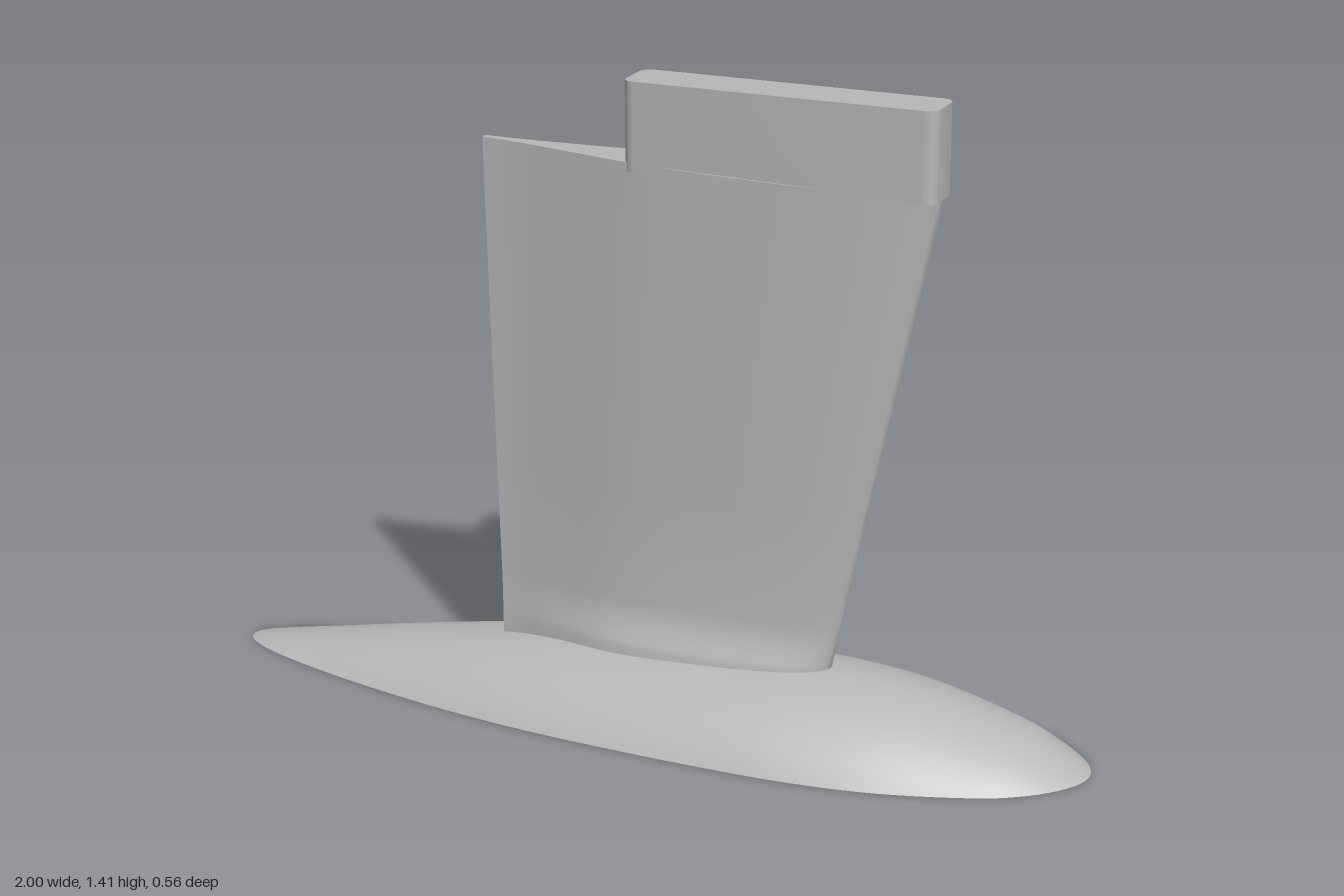
import * as THREE from 'three';
import { toCreasedNormals } from 'three/addons/utils/BufferGeometryUtils.js';

const V2 = (p) => new THREE.Vector2(p[0], p[1]);

// Skin a list of equally long point rows; optionally close the last row with a flat cap
function loft(rows, { closed = false, cap = false } = {}) {
  const n = rows[0].length, index = [];
  for (let j = 0; j < rows.length - 1; j++) {
    for (let i = 0; i < (closed ? n : n - 1); i++) {
      const k = (i + 1) % n;
      const a = j * n + i, b = j * n + k, c = a + n, d = b + n;
      index.push(a, b, d, a, d, c);
    }
  }
  if (cap) {
    const base = (rows.length - 1) * n;
    for (let i = 0; i < n / 2 - 1; i++) {
      const a = base + i, b = a + 1, d = base + n - 1 - i, c = d - 1;
      index.push(a, b, c, a, c, d);
    }
  }
  const geo = new THREE.BufferGeometry();
  geo.setAttribute('position', new THREE.Float32BufferAttribute(rows.flat(2), 3));
  geo.setIndex(index);
  geo.computeVertexNormals();
  return geo;
}

export function createModel() {
  const model = new THREE.Group();
  const grey = new THREE.MeshStandardMaterial({ color: 0xb8b8b8 });
  const add = (name, geo, parent = model) => {
    const mesh = new THREE.Mesh(geo, grey);
    mesh.name = name;
    parent.add(mesh);
    return mesh;
  };

  // Bulb: a teardrop of revolution whose axis lies below the flat underside
  const drop = 0.175;
  const crest = new THREE.SplineCurve([
    [-1, 0], [-0.8, 0.037], [-0.6, 0.074], [-0.4, 0.107], [-0.2, 0.131], [0, 0.145],
    [0.2, 0.153], [0.4, 0.154], [0.6, 0.136], [0.8, 0.09], [0.9, 0.053], [1, 0],
  ].map(V2));
  const bulbRows = [], rightRim = [], leftRim = [];
  const steps = 90, arc = 40;
  for (let j = 0; j <= steps; j++) {
    const p = crest.getPoint((1 - Math.cos((Math.PI * j) / steps)) / 2);
    const r = drop + Math.max(p.y, 0.00001);
    const A = Math.acos(drop / r), row = [];
    for (let i = 0; i <= arc; i++) {
      const a = A * ((2 * i) / arc - 1);
      row.push([p.x, r * Math.cos(a) - drop, r * Math.sin(a)]);
    }
    bulbRows.push(row);
    rightRim.push(new THREE.Vector2(p.x, -r * Math.sin(A)));
    leftRim.unshift(new THREE.Vector2(p.x, r * Math.sin(A)));
  }
  add('bulb', loft(bulbRows));

  // Flat underside with two blind pin holes
  const holeR = 0.043, holeDepth = 0.08, holeX = [0.62, -0.09];
  const outline = new THREE.Shape([...rightRim, ...leftRim]);
  for (const x of holeX) {
    outline.holes.push(new THREE.Path().absarc(x, 0, holeR, 0, Math.PI * 2, true));
  }
  add('underside', new THREE.ShapeGeometry(outline, 24).rotateX(Math.PI / 2));
  for (const x of holeX) {
    const hole = new THREE.Group();
    hole.name = 'pinHole';
    hole.position.x = x;
    model.add(hole);
    // Negative x scale baked with flipped winding turns the wall inward
    const wall = new THREE.CylinderGeometry(holeR, holeR, holeDepth, 32, 1, true);
    const ids = wall.index.array;
    for (let i = 0; i < ids.length; i += 3) [ids[i], ids[i + 1]] = [ids[i + 1], ids[i]];
    wall.computeVertexNormals();
    add('holeWall', wall.translate(0, holeDepth / 2, 0), hole);
    add('holeEnd', new THREE.CircleGeometry(holeR, 32).rotateX(Math.PI / 2).translate(0, holeDepth, 0), hole);
  }

  // Fin section: chord position (0 trailing, 1 leading) and relative half thickness
  const side = [
    [0, 0.13], [0.07, 0.2], [0.2, 0.49], [0.34, 0.83], [0.47, 0.98], [0.6, 1],
    [0.72, 0.97], [0.84, 0.86], [0.93, 0.65], [0.98, 0.37],
  ];
  const section = new THREE.SplineCurve([
    ...side, [1, 0], ...side.map(([u, t]) => [u, -t]).reverse(),
  ].map(V2)).getPoints(99);

  // Fin: straight taper above a fillet that spreads onto the bulb
  const levels = [
    [0.07, 0.08], [0.15, 0.079], [0.165, 0.073], [0.18, 0.066], [0.2, 0.058],
    [0.225, 0.051], [0.25, 0.048], [0.5, 0.052], [0.85, 0.058], [1.22, 0.064],
  ];
  const finRows = levels.map(([y, t], j) => {
    const k = (y - 0.15) / 1.07;
    const trailing = -0.355 - 0.035 * k, leading = 0.42 + 0.225 * k;
    const rise = j === levels.length - 1 ? 0.025 : 0;
    return section.map((p) => [
      trailing + (leading - trailing) * p.x, y + rise * (1 - p.x), p.y * t,
    ]);
  });
  add('fin', toCreasedNormals(loft(finRows, { closed: true, cap: true }), 0.7));

  // Mounting block: a bar with rounded upright edges
  const x0 = -0.043, x1 = 0.645, w = 0.059, r = 0.026;
  const plan = new THREE.Shape();
  plan.absarc(x1 - r, w - r, r, 0, Math.PI / 2);
  plan.absarc(x0 + r, w - r, r, Math.PI / 2, Math.PI);
  plan.absarc(x0 + r, r - w, r, Math.PI, Math.PI * 1.5);
  plan.absarc(x1 - r, r - w, r, Math.PI * 1.5, Math.PI * 2);
  const block = new THREE.ExtrudeGeometry(plan, { depth: 0.195, bevelEnabled: false, curveSegments: 8 });
  block.rotateX(-Math.PI / 2).translate(0, 1.216, 0);
  add('mountingBlock', toCreasedNormals(block, 0.6));

  return model;
}
